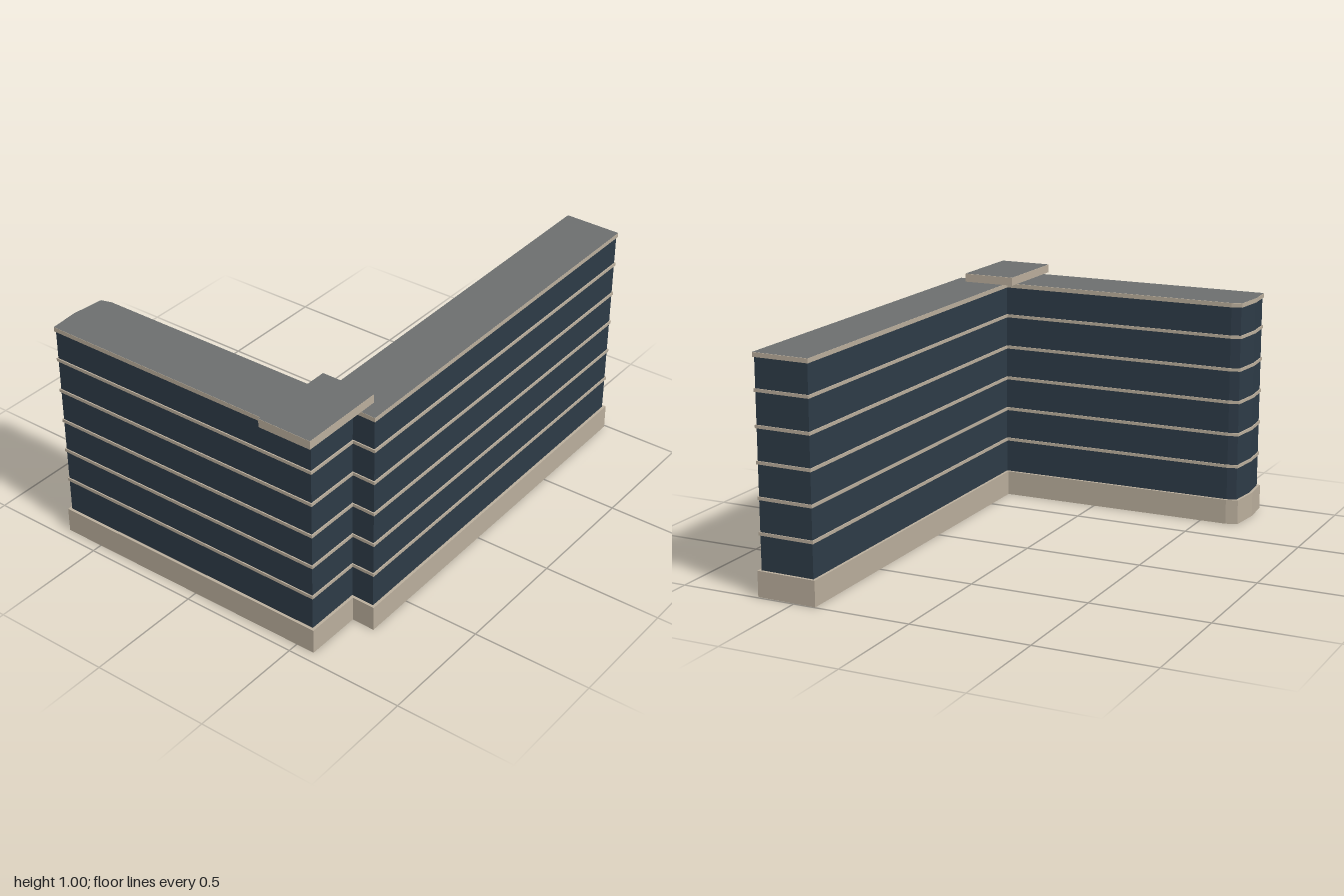
import * as THREE from 'three';

// Plan of the L-shaped block as [x, z], counter-clockwise seen from above
const PLAN = [
  [-0.955, 0.58], [-0.712, 0.58], [-0.714, 0.679], [0.991, 0.665], [0.997, 0.406],
  [-0.67, 0.42], [-0.675, -0.615], [-0.69, -0.664], [-0.83, -0.679], [-0.957, -0.669],
];
const CAP = [[-1, 0.61], [-0.63, 0.61], [-0.63, 0.38], [-1, 0.38]];

// Shape of a plan pulled in by a constant distance (mitred corners)
function insetShape(plan, d) {
  const p = plan.map(([x, z]) => new THREE.Vector2(x, -z));
  const n = p.length;
  const inward = (a, b) => new THREE.Vector2(a.y - b.y, b.x - a.x).normalize();
  return new THREE.Shape(p.map((c, i) => {
    const n1 = inward(p[(i + n - 1) % n], c);
    const n2 = inward(c, p[(i + 1) % n]);
    const miter = n1.clone().add(n2).multiplyScalar(d / (1 + n1.dot(n2)));
    return c.clone().add(miter);
  }));
}

export function createModel() {
  const model = new THREE.Group();
  model.name = 'officeBlock';
  const stone = new THREE.MeshStandardMaterial({ name: 'stone', color: 0xbaae9c });
  const glass = new THREE.MeshStandardMaterial({ name: 'darkGlass', color: 0x2d3b47 });
  const roofing = new THREE.MeshStandardMaterial({ name: 'greyRoofing', color: 0x6c6f6f });

  function add(name, geometry, material, y) {
    geometry.rotateX(-Math.PI / 2);
    const mesh = new THREE.Mesh(geometry, material);
    mesh.name = name;
    mesh.position.y = y;
    model.add(mesh);
  }
  const slab = (name, plan, inset, y0, y1, material) => add(name,
    new THREE.ExtrudeGeometry(insetShape(plan, inset), { depth: y1 - y0, bevelEnabled: false }), material, y0);
  const sheet = (name, plan, inset, y) => add(name,
    new THREE.ShapeGeometry(insetShape(plan, inset)), roofing, y);

  // Plinth and glazed storeys
  slab('base', PLAN, 0, 0, 0.106, stone);
  slab('walls', PLAN, 0.012, 0.106, 0.946, glass);

  // Thin ledges between the storeys
  for (let i = 0; i < 5; i++) {
    const y = 0.253 + i * 0.1405;
    slab('floorBand' + (i + 1), PLAN, 0.007, y - 0.0065, y + 0.0065, stone);
  }

  // Roof edge and roof surface
  slab('roofEdge', PLAN, 0.007, 0.942, 0.96, stone);
  sheet('roof', PLAN, 0.007, 0.961);

  // Raised overhanging slab on the corner
  slab('cornerCap', CAP, 0, 0.961, 0.996, stone);
  sheet('cornerCapRoof', CAP, 0, 0.997);

  return model;
}
